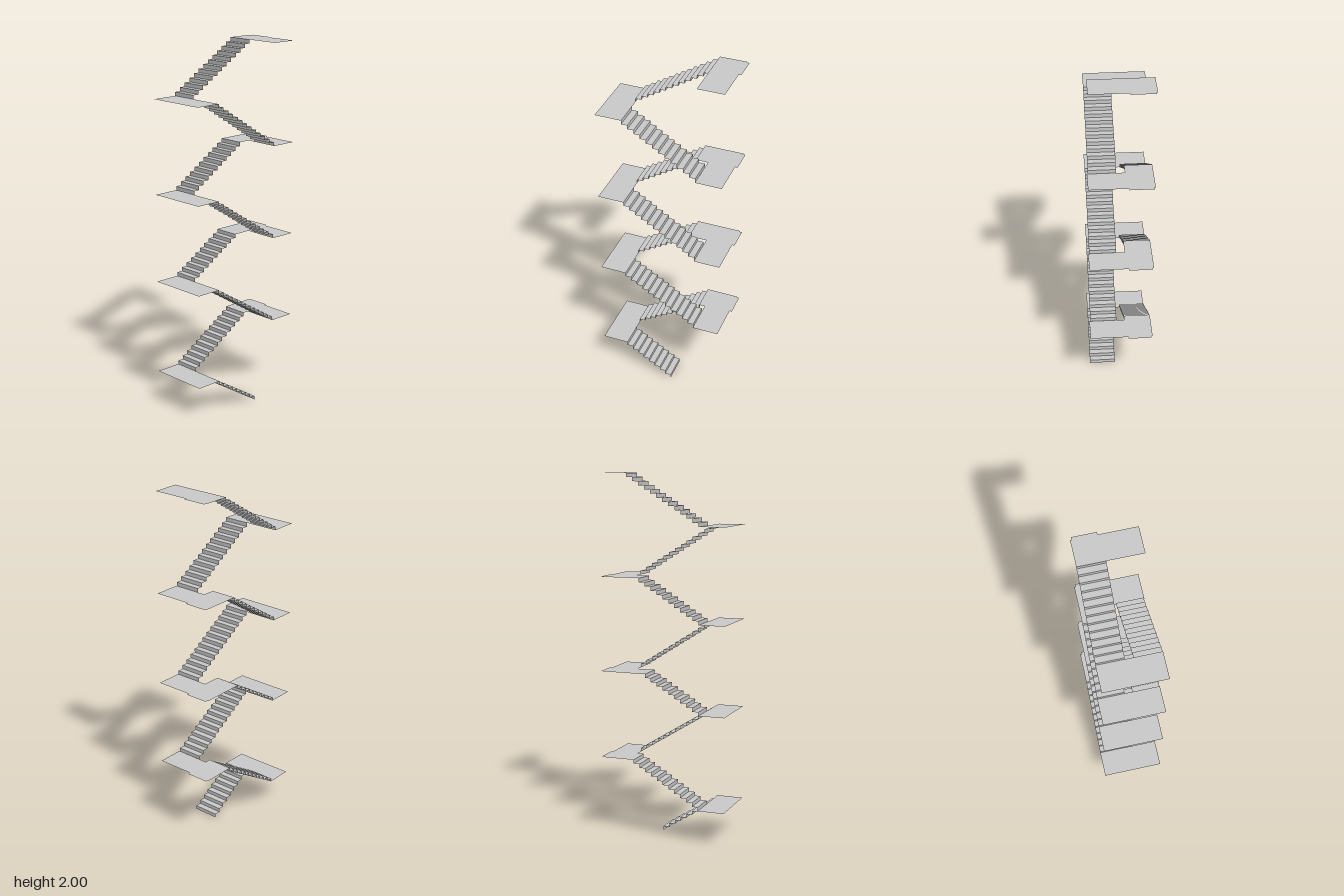
import * as THREE from 'three';

const RUN = 0.0339;                    // tread depth
const LEFT = -0.21, RIGHT = 0.197;     // inner edges of the landings
const BACK = [-0.172, -0.025];         // z range of the back flights
const FRONT = [0.02, 0.167];           // z range of the front flights

const material = new THREE.MeshStandardMaterial({ color: 0xcccccc, side: THREE.DoubleSide });

function addMesh(group, name, geometry) {
  const mesh = new THREE.Mesh(geometry, material);
  mesh.name = name;
  group.add(mesh);
}

// Folded sheet: a profile of [x, y] points swept between two z values, flat shaded
function foldedSheet(profile, [z0, z1]) {
  const positions = [];
  for (let i = 0; i < profile.length - 1; i++) {
    const [ax, ay] = profile[i], [bx, by] = profile[i + 1];
    positions.push(ax, ay, z1, bx, by, z1, bx, by, z0);
    positions.push(ax, ay, z1, bx, by, z0, ax, ay, z0);
  }
  const geometry = new THREE.BufferGeometry();
  geometry.setAttribute('position', new THREE.Float32BufferAttribute(positions, 3));
  geometry.computeVertexNormals();
  return geometry;
}

// Treads and risers climbing from y0 to y1, always one riser more than treads
function flight(y0, y1, risers, startX, direction, zRange) {
  const profile = [[startX, y0]];
  const rise = (y1 - y0) / risers;
  for (let i = 0; i < risers; i++) {
    const x = startX + direction * i * RUN, y = y0 + (i + 1) * rise;
    profile.push([x, y]);
    if (i < risers - 1) profile.push([x + direction * RUN, y]);
  }
  if (direction < 0) profile.reverse();
  return foldedSheet(profile, zRange);
}

// Flat sheet from an [x, z] outline
function flatSheet(outline, y) {
  const shape = new THREE.Shape(outline.map(([x, z]) => new THREE.Vector2(x, -z)));
  return new THREE.ShapeGeometry(shape).rotateX(-Math.PI / 2).translate(0, y, 0);
}

export function createModel() {
  const group = new THREE.Group();
  group.name = 'staircase';

  // Each storey: start, half landing and full landing heights, risers per flight
  const storeys = [
    { y: [0, 0.191, 0.444], risers: [9, 12] },
    { y: [0.444, 0.717, 0.926], risers: [13, 10] },
    { y: [0.926, 1.207, 1.445], risers: [13, 11] },
    { y: [1.445, 1.724, 2], risers: [13, 13] },
  ];

  storeys.forEach(({ y, risers }, i) => {
    const storey = new THREE.Group();
    storey.name = `storey${i + 1}`;
    group.add(storey);

    // Front flight climbs towards -x, back flight returns towards +x
    const startX = LEFT + (risers[0] - 1) * RUN;
    addMesh(storey, 'frontFlight', flight(y[0], y[1], risers[0], startX, -1, FRONT));
    addMesh(storey, 'backFlight', flight(y[1], y[2], risers[1], LEFT, 1, BACK));

    // Half landing
    addMesh(storey, 'halfLanding', flatSheet(
      [[-0.357, -0.172], [-0.357, 0.167], [LEFT, 0.167], [LEFT, -0.172]], y[1]));

    // Full landing with door sill, reaching in to meet a shorter back flight
    const arriveX = Math.min(RIGHT, LEFT + (risers[1] - 1) * RUN);
    const frontZ = i === storeys.length - 1 ? 0.167 : 0.172;
    const outline = [
      [RIGHT, frontZ], [0.343, frontZ], [0.343, -0.037], [0.357, -0.037],
      [0.357, -0.165], [0.343, -0.165], [0.343, -0.172],
    ];
    if (RIGHT - arriveX > 0.01) outline.push([arriveX, BACK[0]], [arriveX, BACK[1]], [RIGHT, BACK[1]]);
    else outline.push([RIGHT, BACK[0]]);
    addMesh(storey, 'fullLanding', flatSheet(outline, y[2]));
  });

  return group;
}
